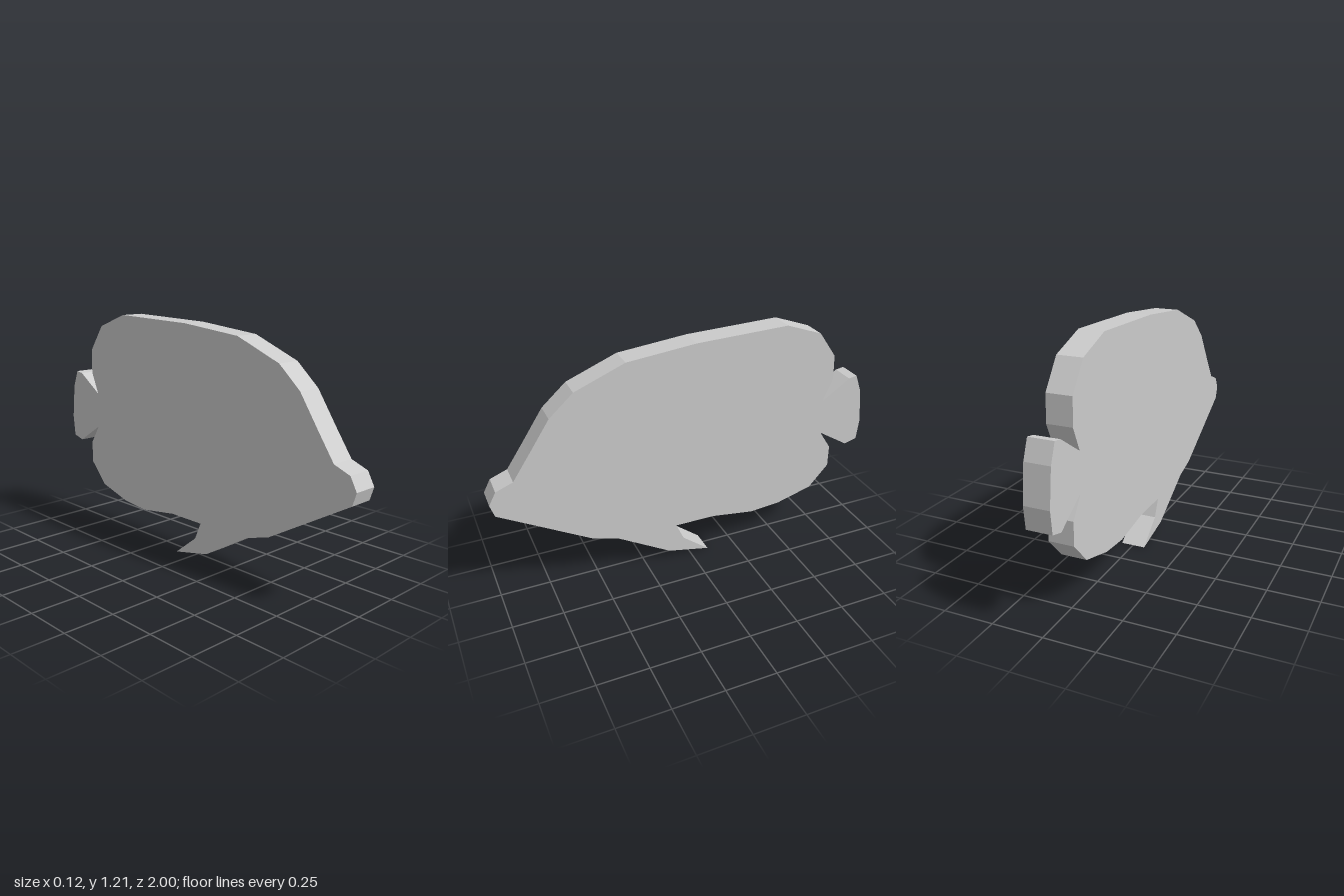
import * as THREE from 'three';

const THICKNESS = 0.124;

// Side outline as [z, y], split by the part of the fish it traces
const snout = [[0.98, 0.507], [1, 0.57], [0.965, 0.635], [0.88, 0.668]];
const back = [[0.79, 0.8], [0.69, 0.95], [0.57, 1.057], [0.32, 1.157], [-0.03, 1.192],
  [-0.51, 1.205], [-0.7, 1.135], [-0.795, 1], [-0.8, 0.87]];
const tail = [[-0.75, 0.755], [-0.9, 0.855], [-0.945, 0.862], [-0.98, 0.77], [-1, 0.59],
  [-0.988, 0.48], [-0.92, 0.462], [-0.755, 0.565]];
const rearFin = [[-0.82, 0.465], [-0.82, 0.35], [-0.715, 0.235], [-0.52, 0.18],
  [-0.36, 0.167], [-0.13, 0.2]];
const bellyFin = [[0.08, 0.2], [0.04, 0.11], [-0.1, 0], [0.12, 0.048], [0.4, 0.212], [0.53, 0.25]];

export function createModel() {
  const group = new THREE.Group();
  group.name = 'fish';

  // Flat cut-out, extruded across x
  const outline = [...snout, ...back, ...tail, ...rearFin, ...bellyFin];
  const shape = new THREE.Shape(outline.map(([z, y]) => new THREE.Vector2(z, y)));
  const geometry = new THREE.ExtrudeGeometry(shape, { depth: THICKNESS, bevelEnabled: false });
  geometry.translate(0, 0, -THICKNESS / 2).rotateY(-Math.PI / 2);

  const body = new THREE.Mesh(geometry,
    new THREE.MeshStandardMaterial({ color: 0xcccccc, flatShading: true }));
  body.name = 'fishBody';
  group.add(body);
  return group;
}
